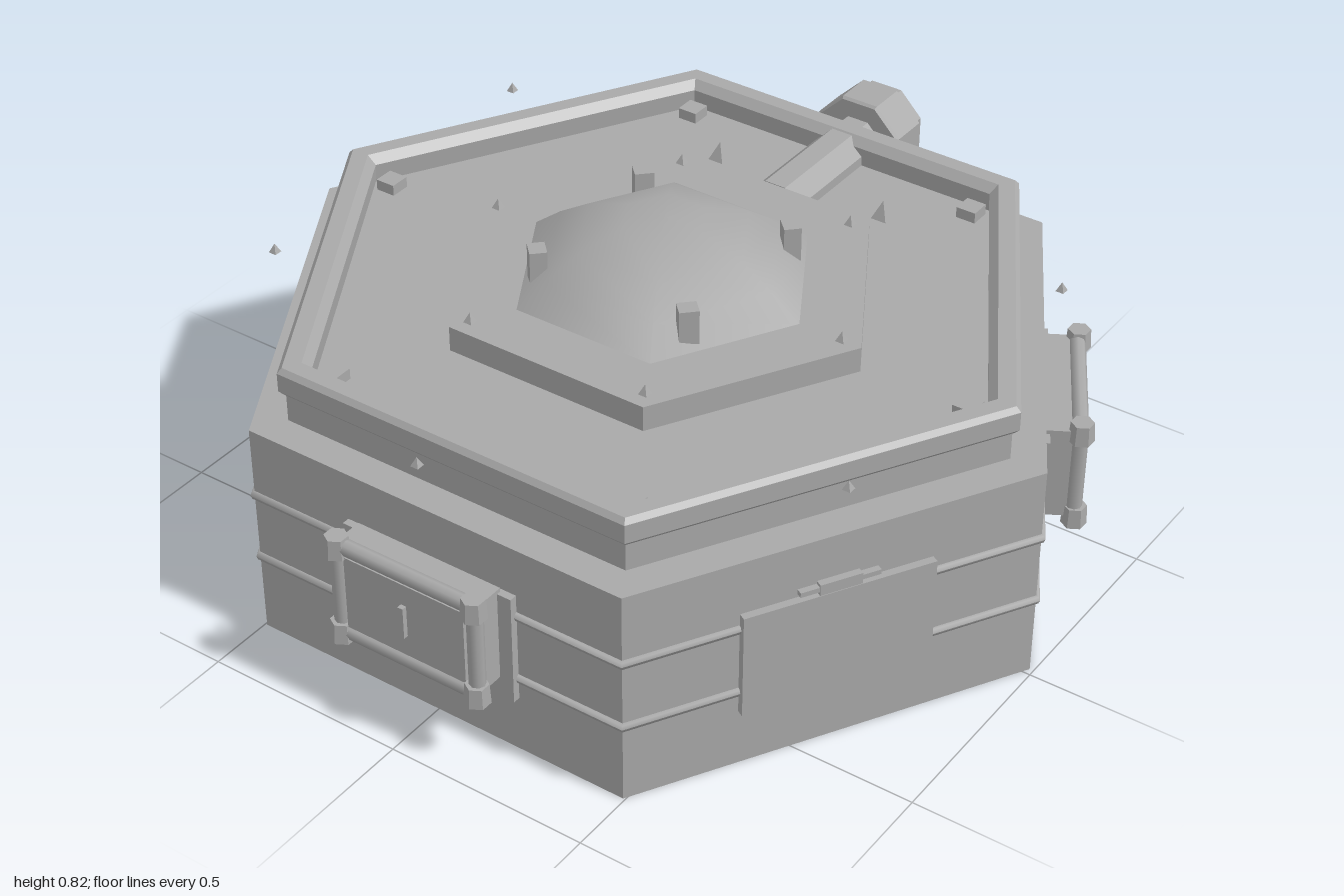
import * as THREE from 'three';

export function createModel() {
  const root = new THREE.Group();
  root.name = 'hexagonalBunker';
  const model = new THREE.Group();
  model.name = 'bunker';
  model.position.z = -0.017;
  root.add(model);

  const metal = new THREE.MeshStandardMaterial({ color: 0xa8a8a8 });
  metal.name = 'grey metal';

  const add = (parent, name, geo, x = 0, y = 0, z = 0) => {
    const m = new THREE.Mesh(geo, metal);
    m.name = name;
    m.position.set(x, y, z);
    parent.add(m);
    return m;
  };
  const flat = (geo) => {
    const g = geo.index ? geo.toNonIndexed() : geo;
    g.computeVertexNormals();
    return g;
  };
  const lathe = (pts, sides) =>
    new THREE.LatheGeometry(pts.map((p) => new THREE.Vector2(...p)), sides, Math.PI / sides);
  const hex = (r, y0, y1, rTop = r) => {
    const g = new THREE.CylinderGeometry(rTop, r, y1 - y0, 6, 1, false, Math.PI / 6);
    return flat(g.translate(0, (y0 + y1) / 2, 0));
  };
  const box = (w, h, d) => new THREE.BoxGeometry(w, h, d);
  const spike = (r, h) =>
    flat(new THREE.ConeGeometry(r * Math.SQRT2, h, 4).rotateY(Math.PI / 4).translate(0, h / 2, 0));

  // Stacked hexagonal body
  add(model, 'base', hex(0.99, 0, 0.545));
  add(model, 'upperTier', hex(0.9, 0.545, 0.618));
  add(model, 'raisedPlatform', hex(0.52, 0.618, 0.68));

  // Bevelled rim around the deck
  const rim = [[0.84, 0.615], [0.905, 0.615], [0.917, 0.627], [0.917, 0.673], [0.905, 0.685],
    [0.86, 0.685], [0.837, 0.665], [0.84, 0.615]];
  add(model, 'deckRim', flat(lathe(rim, 6)));

  // Rounded bands round the walls
  for (const y of [0.2, 0.37]) {
    const band = [];
    for (let i = 0; i <= 8; i++) {
      const a = (i / 8) * Math.PI * 2;
      band.push([0.988 + 0.012 * Math.cos(a), y + 0.012 * Math.sin(a)]);
    }
    add(model, 'wallBand', lathe(band, 6));
  }

  // Dome with four clamps
  add(model, 'dome', lathe([[0.36, 0.68], [0.29, 0.735], [0.21, 0.785], [0.1, 0.823], [0, 0.825]], 6));
  for (let i = 0; i < 4; i++) {
    const a = Math.PI / 4 + (i * Math.PI) / 2;
    const clamp = add(model, 'domeClamp', box(0.045, 0.085, 0.04),
      0.287 * Math.sin(a), 0.733, 0.287 * Math.cos(a));
    clamp.rotation.y = a;
  }

  // Rings of bolts and spikes
  for (let i = 0; i < 6; i++) {
    const a = (i * Math.PI) / 3;
    const c = a + Math.PI / 6;
    add(model, 'deckBolt', box(0.05, 0.03, 0.05), 0.79 * Math.sin(c), 0.63, 0.79 * Math.cos(c));
    add(model, 'platformSpike', spike(0.011, 0.024), 0.47 * Math.sin(c), 0.68, 0.47 * Math.cos(c));
    add(model, 'outerSpike', spike(0.01, 0.022), 0.885 * Math.sin(a), 0.682, 0.885 * Math.cos(a));
  }
  for (const s of [-1, 1]) add(model, 'pipeBolt', spike(0.02, 0.045), s * 0.23, 0.618, -0.56);

  // Exhaust pipe and hollow nozzle at the back
  const pipe = new THREE.CylinderGeometry(0.072, 0.072, 0.4, 8, 1, false, Math.PI / 8);
  add(model, 'exhaustPipe', flat(pipe.rotateX(-Math.PI / 2)), 0, 0.615, -0.65);
  const nozzle = [[0, 0.813], [0.118, 0.813], [0.124, 0.82], [0.124, 0.912], [0.108, 0.922],
    [0.108, 0.943], [0.075, 0.943], [0.06, 0.9], [0, 0.9]];
  add(model, 'exhaustNozzle', flat(lathe(nozzle, 8).rotateX(-Math.PI / 2)), 0, 0.615, 0);

  // Framed hatch with tubular bars and corner knobs
  const makeHatch = () => {
    const g = new THREE.Group();
    g.name = 'framedHatch';
    add(g, 'backPlate', box(0.45, 0.28, 0.03), 0, 0.285, 0.861);
    add(g, 'hatchBox', box(0.38, 0.235, 0.08), 0, 0.317, 0.905);
    add(g, 'hatchDoor', box(0.32, 0.19, 0.012), 0, 0.317, 0.948);
    add(g, 'hatchHandle', box(0.014, 0.08, 0.016), 0, 0.317, 0.958);
    for (const s of [-1, 1]) {
      const bar = (len) => new THREE.CylinderGeometry(0.019, 0.019, len, 8);
      add(g, 'frameSide', bar(0.23), s * 0.183, 0.317, 0.943);
      add(g, 'frameRail', bar(0.366).rotateZ(Math.PI / 2), 0, 0.317 + s * 0.115, 0.943);
      for (const t of [-1, 1]) {
        const knob = new THREE.CylinderGeometry(0.027, 0.03, 0.05, 6);
        add(g, 'frameKnob', flat(knob), s * 0.183, 0.317 + t * 0.115, 0.946);
      }
    }
    return g;
  };

  // Plain wall panel with a hinge bar above
  const makePanel = () => {
    const g = new THREE.Group();
    g.name = 'wallPanel';
    add(g, 'panelPlate', box(0.455, 0.265, 0.03), 0, 0.278, 0.861);
    add(g, 'panelHinge', box(0.19, 0.012, 0.025), 0, 0.425, 0.86);
    add(g, 'hingeBlock', box(0.1, 0.028, 0.025), 0, 0.424, 0.862);
    return g;
  };

  // Hatches and panels alternate round the six walls
  for (let i = 0; i < 6; i++) {
    const g = i % 2 ? makePanel() : makeHatch();
    g.rotation.y = (i * Math.PI) / 3;
    model.add(g);
  }

  // Small blocks low on the back wall
  for (const s of [-1, 1]) add(model, 'backBlock', box(0.08, 0.07, 0.03), s * 0.187, 0.04, -0.86);

  return root;
}
